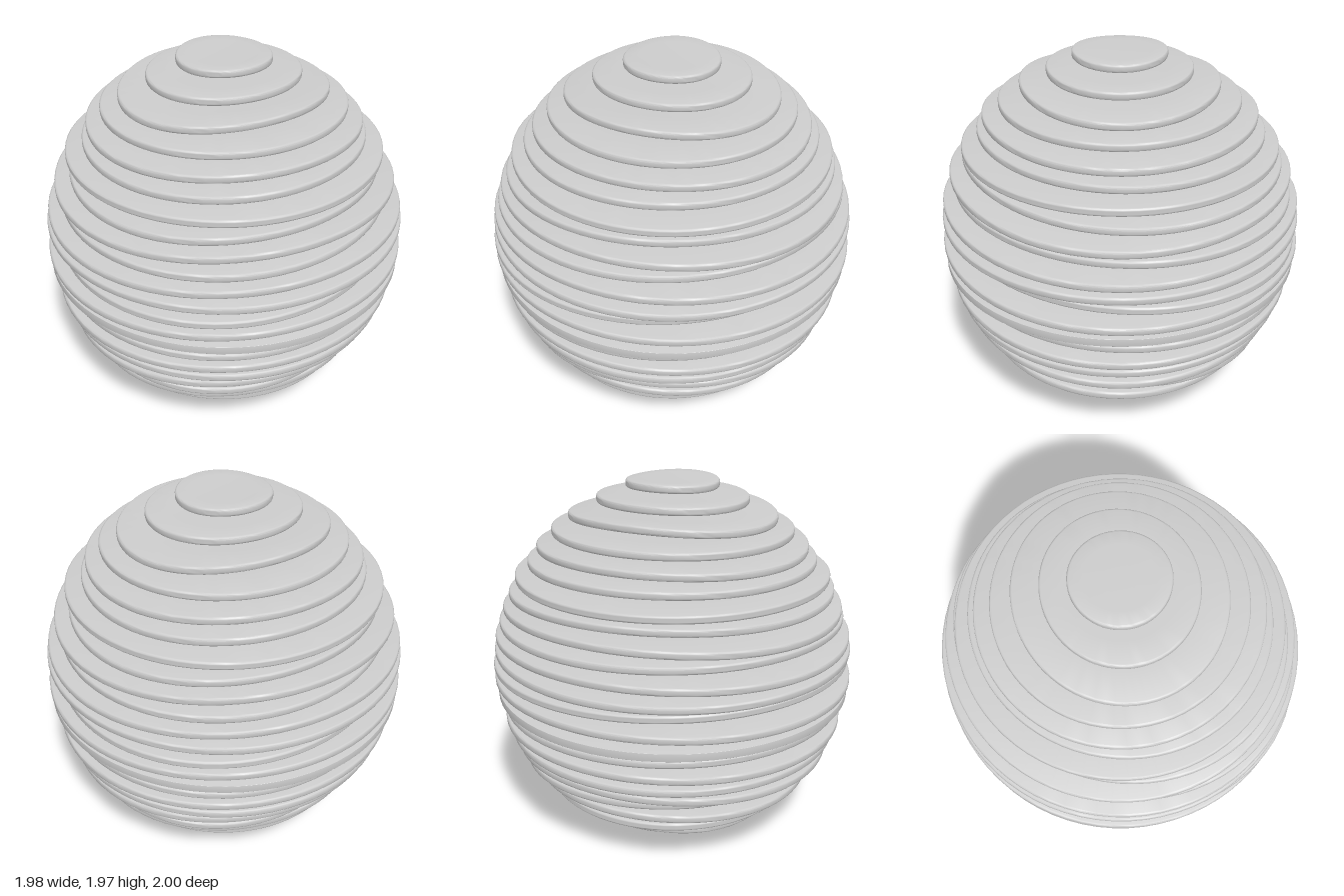
import * as THREE from 'three';
import { toCreasedNormals } from 'three/addons/utils/BufferGeometryUtils.js';

// Slices from bottom to top: [half width x, half depth z, saddle height, diagonal stretch]
const SLICES = [
  [0.355, 0.355, 0.005, 0], [0.488, 0.502, 0.001, 0], [0.632, 0.573, 0.011, 0],
  [0.715, 0.717, 0.001, 0], [0.784, 0.787, 0.021, 0], [0.761, 0.850, 0.003, 0],
  [0.885, 0.888, 0.026, 0], [0.918, 0.922, 0.005, 0], [0.948, 0.953, 0.014, 0],
  [0.912, 0.953, 0.003, 0], [0.982, 0.984, 0, 0], [0.988, 0.997, 0.014, 0],
  [0.902, 1.000, 0.001, 0], [0.982, 0.988, 0.003, 0], [0.970, 0.979, 0.019, 0],
  [0.882, 0.953, 0.003, 0], [0.922, 0.928, 0.026, 0], [0.828, 0.893, 0.019, 0],
  [0.849, 0.855, 0.001, 0], [0.752, 0.785, 0.008, 0], [0.730, 0.733, 0.016, 0],
  [0.648, 0.648, 0.005, 0.01], [0.543, 0.550, 0.019, 0.035], [0.398, 0.400, 0.005, 0.035],
  [0.250, 0.250, 0.005, 0],
];
const SPACING = 0.08, THICKNESS = 0.042, FIRST = 0.026;

// Thin disc with a rounded rim, stretched to an ellipse and bent into a saddle
function sliceGeometry(rx, rz, saddle, stretch, bevel) {
  const r = (rx + rz) / 2, h = THICKNESS / 2;
  const lower = [0, 0.35, 0.7].map(f => new THREE.Vector2(f * r, -h));
  for (let i = 0; i <= 3; i++) {
    const a = (i / 3) * Math.PI / 2;
    lower.push(new THREE.Vector2(r - bevel + bevel * Math.sin(a), -h + bevel - bevel * Math.cos(a)));
  }
  const upper = lower.map(p => new THREE.Vector2(p.x, -p.y)).reverse();
  const geo = new THREE.LatheGeometry([...lower, ...upper], 72);

  const pos = geo.attributes.position;
  for (let i = 0; i < pos.count; i++) {
    const x = pos.getX(i) / r, z = pos.getZ(i) / r;
    const rho2 = x * x + z * z;
    const twist = rho2 > 1e-8 ? 2 * x * z / rho2 : 0;
    const k = 1 - stretch * twist;
    pos.setXYZ(i, x * rx * k, pos.getY(i) + saddle * 2 * x * z, z * rz * k);
  }
  return toCreasedNormals(geo, 0.7);
}

export function createModel() {
  const group = new THREE.Group();
  group.name = 'slicedSphere';
  const material = new THREE.MeshStandardMaterial({ color: 0xcccccc });
  SLICES.forEach(([rx, rz, saddle, stretch], i) => {
    // The one flat slice keeps a nearly square rim
    const bevel = saddle === 0 ? 0.001 : 0.012;
    const slice = new THREE.Mesh(sliceGeometry(rx, rz, saddle, stretch, bevel), material);
    slice.name = `slice${i + 1}`;
    slice.position.y = FIRST + i * SPACING;
    group.add(slice);
  });
  return group;
}
